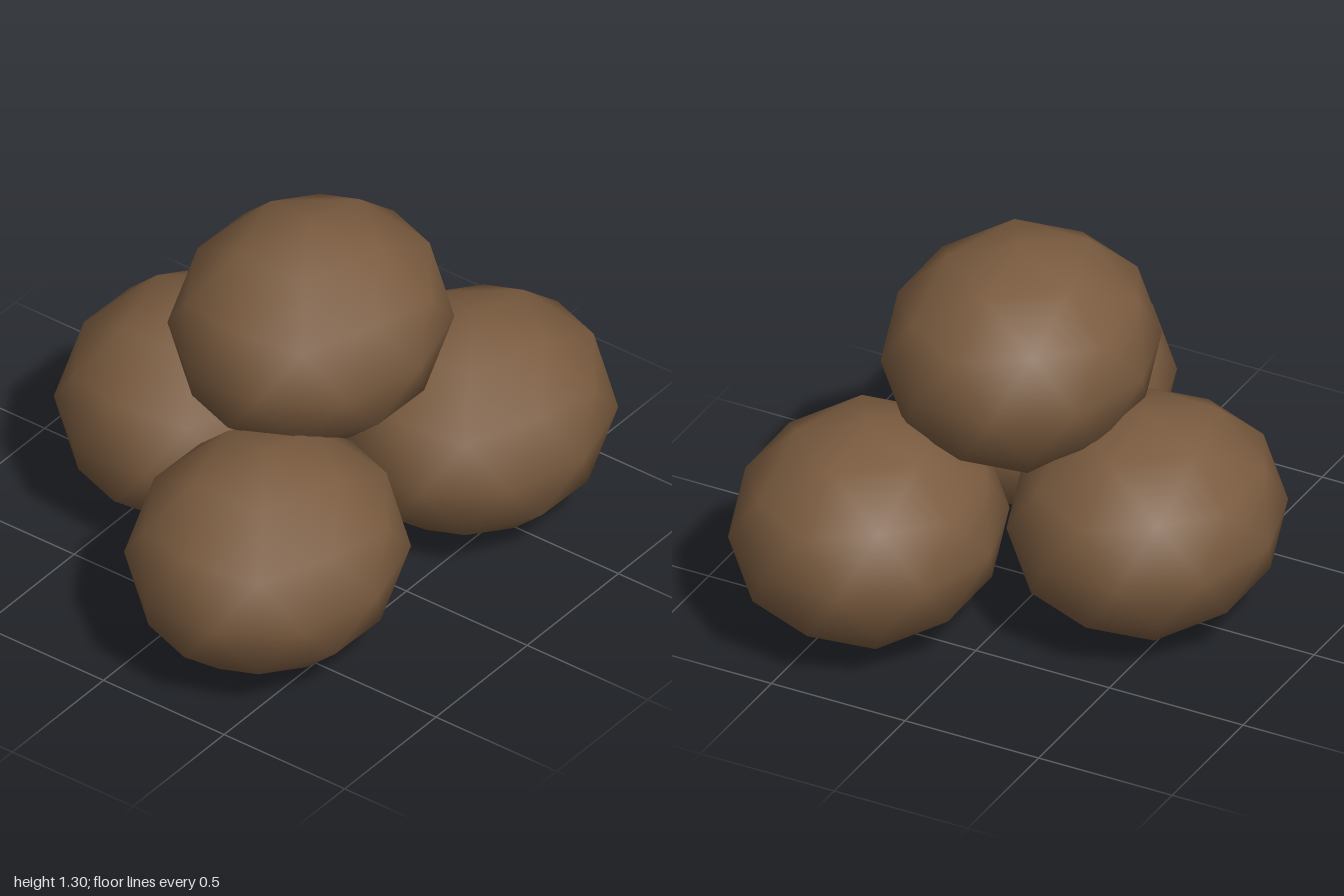
import * as THREE from 'three';

export function createModel() {
  const group = new THREE.Group();
  group.name = 'stonePile';

  const brown = new THREE.MeshStandardMaterial({ color: 0x7a5b3f });
  brown.name = 'earthBrown';

  // Smooth, once-subdivided icosphere turned so one vertex points straight up
  const stone = new THREE.IcosahedronGeometry(1, 1);
  stone.rotateZ(-Math.atan(2 / (1 + Math.sqrt(5))));
  stone.scale(0.51, 0.394, 0.455);

  // Three stones on the ground, one resting on top
  const stones = {
    rightStone: [-0.515, 0.394, 0.313],
    leftStone: [0.515, 0.394, 0.393],
    backStone: [0.036, 0.394, -0.395],
    topStone: [0.036, 0.908, 0.076],
  };
  for (const [name, position] of Object.entries(stones)) {
    const mesh = new THREE.Mesh(stone, brown);
    mesh.name = name;
    mesh.position.set(...position);
    group.add(mesh);
  }
  return group;
}
